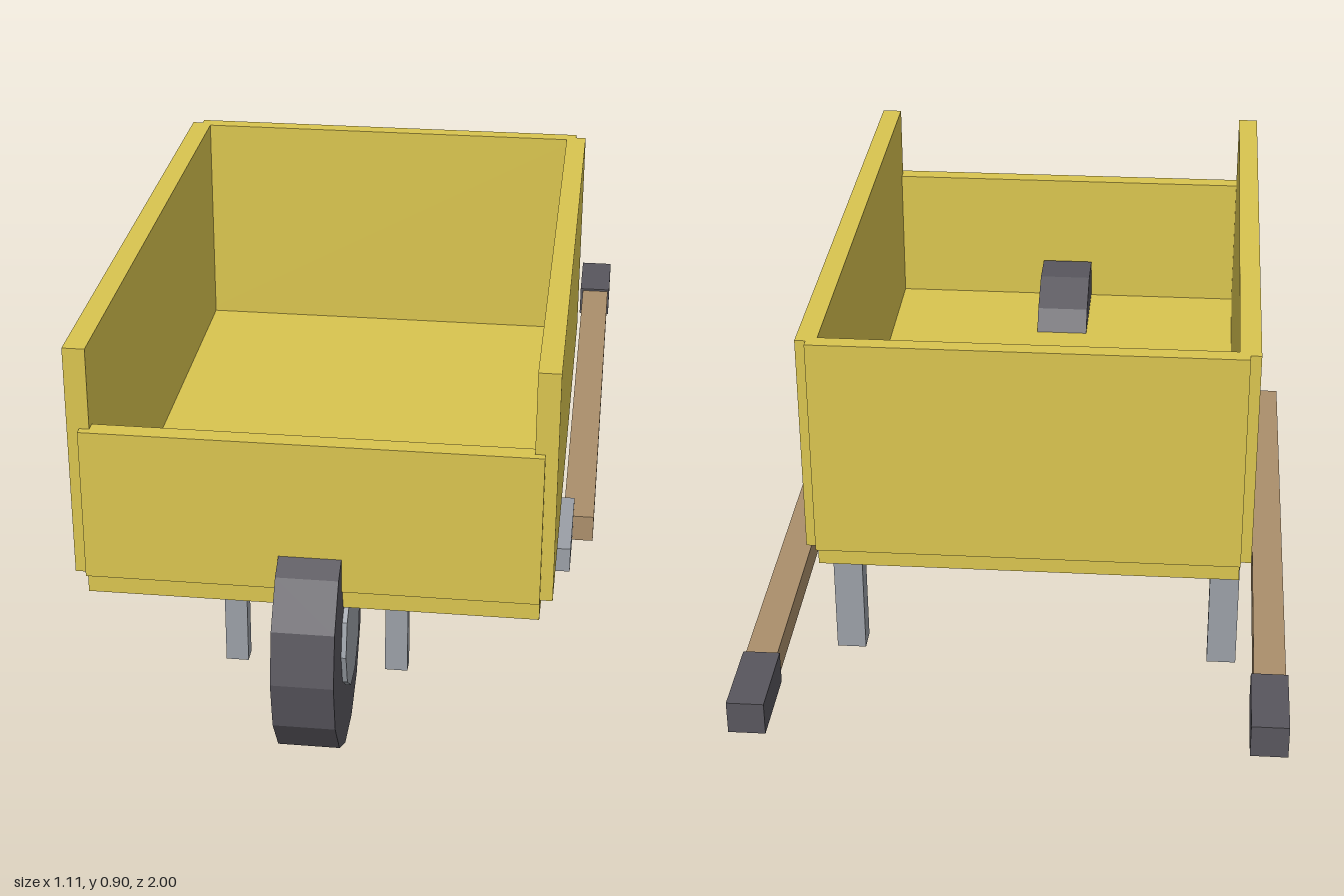
import * as THREE from 'three';

const paint = (color) => new THREE.MeshStandardMaterial({ color, flatShading: true });

export function createModel() {
  const group = new THREE.Group();
  const yellow = paint(0xd9c44f);
  const wood = paint(0xab8f6b);
  const metal = paint(0x9a9fa6);
  const rubber = paint(0x58565d);

  // Box given by its extents along each axis
  function box(name, material, [x0, x1], [y0, y1], [z0, z1]) {
    const mesh = new THREE.Mesh(new THREE.BoxGeometry(x1 - x0, y1 - y0, z1 - z0), material);
    mesh.position.set((x0 + x1) / 2, (y0 + y1) / 2, (z0 + z1) / 2);
    mesh.name = name;
    group.add(mesh);
  }

  // Same box on both sides of the centre line
  function pair(name, material, [x0, x1], y, z) {
    box(name + 'Left', material, [x0, x1], y, z);
    box(name + 'Right', material, [-x1, -x0], y, z);
  }

  // Slightly tall faceted disc with its axle along x
  function disc(name, material, halfWidth, radiusY, radiusZ, sides) {
    const geometry = new THREE.CylinderGeometry(1, 1, halfWidth * 2, sides);
    geometry.rotateZ(Math.PI / 2).scale(1, radiusY, radiusZ);
    const mesh = new THREE.Mesh(geometry, material);
    mesh.position.set(0, 0.256, 0.775);
    mesh.name = name;
    group.add(mesh);
  }

  // Tray: floor, tall sides and back, low front
  box('trayFloor', yellow, [-0.455, 0.455], [0.357, 0.402], [-0.476, 0.855]);
  pair('traySide', yellow, [0.435, 0.48], [0.402, 0.897], [-0.477, 0.855]);
  box('trayBack', yellow, [-0.457, 0.457], [0.402, 0.897], [-0.496, -0.46]);
  box('trayFront', yellow, [-0.455, 0.455], [0.402, 0.725], [0.832, 0.872]);

  // Wheel, with the hub standing slightly proud of the tyre
  disc('tyre', rubber, 0.063, 0.251, 0.225, 14);
  disc('hub', metal, 0.073, 0.119, 0.11, 10);
  pair('wheelSupport', metal, [0.142, 0.188], [0.178, 0.357], [0.76, 0.795]);

  // Handles, their brackets and grips
  pair('handleBracket', metal, [0.448, 0.506], [0.303, 0.357], [0.343, 0.568]);
  pair('handle', wood, [0.485, 0.55], [0.293, 0.351], [-0.83, 0.414]);
  pair('grip', rubber, [0.479, 0.554], [0.286, 0.356], [-1, -0.82]);

  // Rear legs
  pair('leg', metal, [0.396, 0.462], [0, 0.303], [-0.27, -0.215]);

  return group;
}
